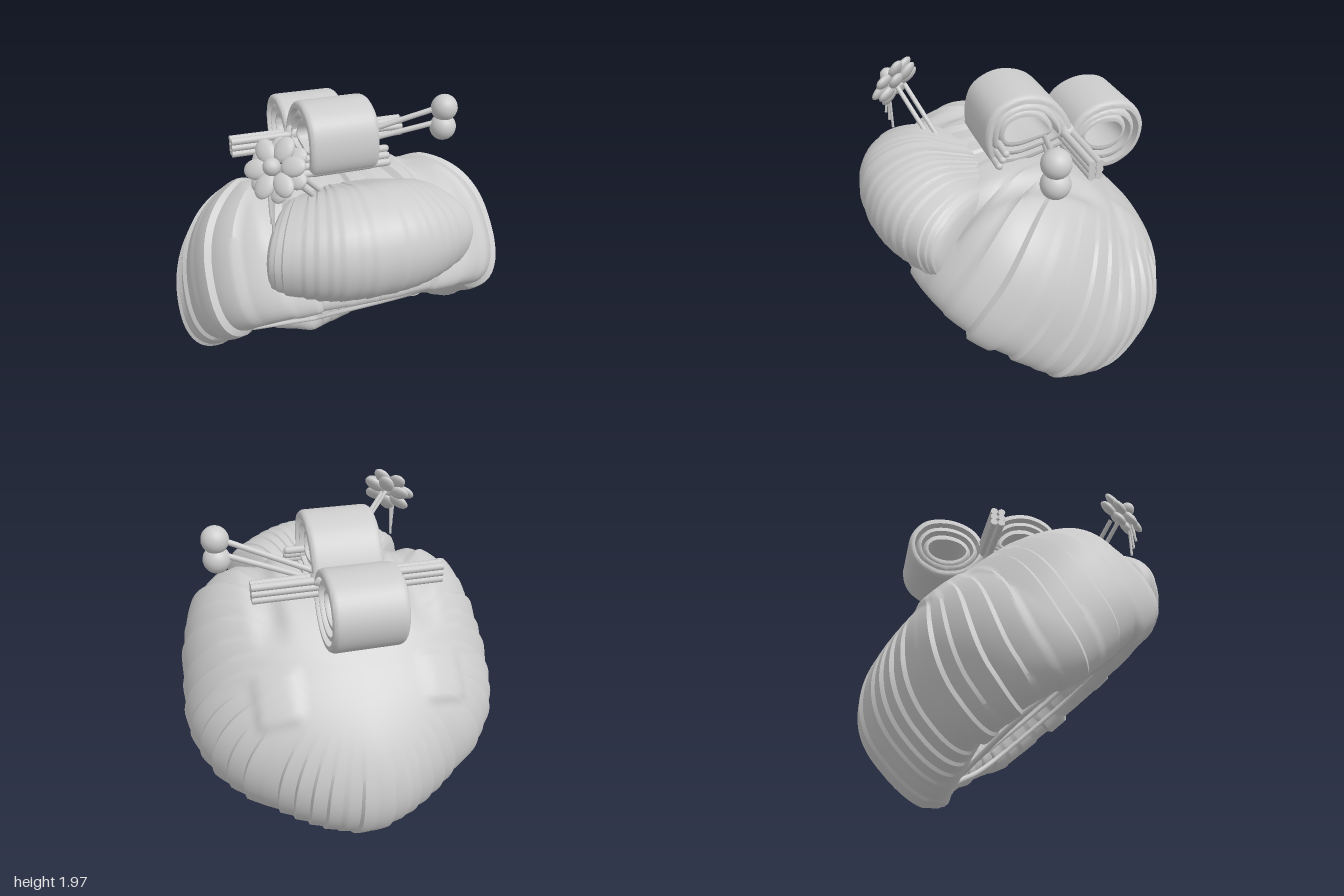
import * as THREE from 'three';
import { toCreasedNormals } from 'three/addons/utils/BufferGeometryUtils.js';

const hair = new THREE.MeshStandardMaterial({ color: 0xcccccc, side: THREE.DoubleSide });
hair.name = 'plain grey';

const V = (x, y, z) => new THREE.Vector3(x, y, z);
const hash = (k) => { const s = Math.sin(k * 12.9898 + 4.1) * 43758.5453; return s - Math.floor(s); };
// overlapping lock: each strand rises to its edge, then steps down
const lock = (q) => hash(Math.floor(q)) * 0.5 + (q - Math.floor(q)) * 0.5;
const smooth = THREE.MathUtils.smoothstep;

function grid(fn, nu, nv) {
  const pos = [], index = [];
  for (let j = 0; j <= nv; j++)
    for (let i = 0; i <= nu; i++) pos.push(...fn(i / nu, j / nv).toArray());
  for (let j = 0; j < nv; j++)
    for (let i = 0; i < nu; i++) {
      const a = j * (nu + 1) + i, b = a + nu + 1;
      index.push(a, a + 1, b, a + 1, b + 1, b);
    }
  const g = new THREE.BufferGeometry();
  g.setAttribute('position', new THREE.Float32BufferAttribute(pos, 3));
  g.setIndex(index);
  return toCreasedNormals(g, 0.6);
}

// tilted frame of the hair: v runs up and forward along the opening, w up and back
const place = (x, v, w) => V(x, Math.max(0, 0.55 + 0.667 * v + 0.745 * w), 0.12 + 0.745 * v - 0.667 * w);

function outline(th, ax, front, back, eFront, eBack) {
  const c = Math.abs(Math.cos(th)), s = Math.sin(th);
  const e = s > 0 ? 2 + (eFront - 2) * s : 2 - (eBack - 2) * s;
  return Math.pow((c / ax) ** e + (Math.abs(s) / (s > 0 ? front : back)) ** e, -1 / e);
}
const outer = (th) => outline(th, 0.985, 0.885, 0.92, 4.2, 1.5);
const opening = (th) => outline(th, 0.62, 0.72, 0.63, 3, 1.1);

// rolled shell: outside dome, rounded rim and inside of the cap
function bodyPoint(a, s) {
  const fold = a < 0.5 ? a : 1 - a;
  let th = -Math.PI / 2 + 2 * Math.PI * a;
  th -= 0.3 * Math.cos(th) * smooth(s, 0.1, 0.6) * (1 - smooth(s, 0.75, 1));
  const R = outer(th), ri = opening(th), sn = Math.sin(th), cs = Math.abs(Math.cos(th));
  const n = 2.2 - 0.2 * sn + Math.max(0, sn) * cs;
  const widest = 0.22 + (sn > 0 ? 0.08 : -0.14) * sn;
  const lowest = -0.06 + 0.2 * Math.max(0, -sn) * cs;
  let r, w;
  if (s <= 0.5) {
    const p = s * Math.PI;
    r = R * Math.pow(Math.sin(p), 2 / n);
    w = widest + (0.95 - widest) * Math.pow(Math.max(0, Math.cos(p)), 2 / n);
  } else if (s <= 0.75) {
    const p = (s - 0.5) * 4 * Math.PI, c = Math.cos(p);
    const tip = 0.05 * (hash(Math.floor(fold * 44)) - 0.5) * cs;
    r = (R + ri) / 2 + (R - ri) / 2 * Math.sign(c) * Math.abs(c) ** 0.85;
    w = widest - (widest - lowest + tip) * Math.max(0, Math.sin(p)) ** 0.85;
  } else {
    const p = (s - 0.75) * 2 * Math.PI;
    r = ri * Math.cos(p);
    w = widest + (0.83 - widest) * Math.sin(p);
  }
  let d = 0.035 * (lock(fold * 44) - 0.5) * smooth(s, 0.12, 0.35) * (1 - smooth(s, 0.68, 0.76));
  const x = Math.abs(r * Math.cos(th)), v = r * sn;
  if (s < 0.5) {
    // groove beside the crown, and the small raised pads at the back
    d -= 0.04 * smooth(x, 0.34, 0.45) * (1 - smooth(x, 0.47, 0.58)) * smooth(v, 0.1, 0.35);
    d += 0.02 * (1 - smooth(Math.abs(x - 0.48), 0.08, 0.15)) * (1 - smooth(Math.abs(v + 0.13), 0.11, 0.18));
  }
  return place(r * (1 + d) * Math.cos(th), v * (1 + d), w * (1 + d));
}

// fringe roll: a cross-section swept round a fan
const fringeCurve = new THREE.CatmullRomCurve3([
  [0.48, 1.5], [0.65, 1.59], [0.83, 1.645], [1.0, 1.61], [1.12, 1.52], [1.175, 1.37],
  [1.15, 1.22], [1.06, 1.11], [0.92, 1.04], [0.75, 1.05], [0.5, 1.3],
].map(([r, y]) => V(r, y, 0)), true);
function fringePoint(t, q) {
  const s = Math.sin((q - 0.5) * Math.PI), p = fringeCurve.getPointAt(t % 1);
  const k = Math.sqrt(Math.max(0, 1 - Math.abs(s) ** 36)) * (1 + 0.04 * (lock(Math.abs(q - 0.5) * 26) - 0.5));
  const high = 1 - 0.3 * s * s * (p.y > 1.3 ? 1 : 0.1);
  const r = (0.85 + (p.x - 0.85) * k) * (1 - 0.06 * s * s);
  const y = 1.3 + (p.y - 1.3) * k * high - 0.02 * s * s;
  const ang = s * 0.6;
  return V(r * Math.sin(ang), y, -0.25 + r * Math.cos(ang));
}

export function createModel() {
  const model = new THREE.Group();
  const add = (name, geometry, parent = model) => {
    const m = new THREE.Mesh(geometry, hair);
    m.name = name;
    parent.add(m);
    return m;
  };
  const group = (name) => {
    const g = new THREE.Group();
    g.name = name;
    model.add(g);
    return g;
  };
  const rod = (name, a, b, r, parent) => {
    const m = add(name, new THREE.CylinderGeometry(r, r, a.distanceTo(b), 12), parent);
    m.position.copy(a).lerp(b, 0.5);
    m.quaternion.setFromUnitVectors(V(0, 1, 0), b.clone().sub(a).normalize());
    return m;
  };

  add('hairBody', grid(bodyPoint, 264, 80));
  add('fringe', grid(fringePoint, 48, 130));

  // thin bands lining the opening
  for (let k = 0; k < 2; k++) {
    const pts = [];
    for (let i = 0; i < 48; i++) {
      const th = i / 48 * Math.PI * 2, r = opening(th) + 0.01 + 0.03 * k;
      pts.push(place(r * Math.cos(th), r * Math.sin(th), 0.1 - 0.08 * k));
    }
    add('openingBand', new THREE.TubeGeometry(new THREE.CatmullRomCurve3(pts, true), 120, 0.016, 8, true));
  }

  // tufts hanging inside the cap, one fan on each side
  for (const side of [-1, 1])
    add('innerTuft', grid((u, t) => {
      const ang = -0.1 + 1.6 * u, r = t * (0.43 + 0.06 * hash(Math.floor(u * 12)));
      return V(side * (0.06 + r * Math.sin(ang)), 1.0 - r * Math.cos(ang),
        -0.4 + 0.1 * t * t + 0.015 * lock(u * 12));
    }, 48, 10));

  // two-loop bow of hair, each loop made of nested bands
  const loops = {
    frontLoop: [[0.25, 1.7], [0.2, 1.87], [0.05, 1.94], [-0.12, 1.9], [-0.24, 1.77], [-0.28, 1.63],
      [-0.1, 1.57], [0.1, 1.54], [0.22, 1.58]],
    backLoop: [[-0.25, 1.62], [-0.32, 1.75], [-0.48, 1.81], [-0.65, 1.77], [-0.735, 1.63],
      [-0.7, 1.47], [-0.56, 1.38], [-0.4, 1.4], [-0.29, 1.5]],
  };
  for (const [name, pts] of Object.entries(loops)) {
    const g = group(name);
    const cz = pts.reduce((s, p) => s + p[0], 0) / pts.length;
    const cy = pts.reduce((s, p) => s + p[1], 0) / pts.length;
    const curve = new THREE.CatmullRomCurve3(pts.map(([z, y]) => V(-(z - cz), y - cy, 0)), true);
    const ring = (kx, ky) => curve.getPoints(48).slice(0, -1).map((p) => new THREE.Vector2(p.x * kx, p.y * ky));
    [[1, 0.77, 0.205], [0.8, 0.6, 0.19], [0.63, 0.42, 0.17]].forEach(([a, b, half], i) => {
      const bevel = 0.035, shape = new THREE.Shape(ring(a - 0.11, a - 0.11 - 0.04 * i));
      shape.holes.push(new THREE.Path(ring(b + 0.08, b + 0.04 - 0.05 * i)));
      const geo = new THREE.ExtrudeGeometry(shape, {
        depth: 2 * (half - bevel), bevelThickness: bevel, bevelSize: 0.026, bevelSegments: 5, curveSegments: 1,
      });
      geo.translate(0, 0, -half + bevel);
      const m = add('loopBand', toCreasedNormals(geo, 0.7), g);
      m.rotation.y = Math.PI / 2;
      m.position.set(0, cy, cz);
    });
  }

  // bundled rods across the bow, and a short bundle below its front
  const bars = group('crossBars');
  for (let i = 0; i < 3; i++)
    for (const z of [-0.225, -0.27])
      rod('crossBar', V(-0.55, 1.585 + i * 0.038, z), V(0.55, 1.585 + i * 0.038, z), 0.022, bars);
  const wrap = add('bowWrap', new THREE.CapsuleGeometry(0.05, 0.34, 6, 16), bars);
  wrap.rotation.z = Math.PI / 2;
  wrap.position.set(0, 1.66, -0.25);
  for (let i = 0; i < 3; i++) {
    const c = add('shortBar', new THREE.CapsuleGeometry(0.022, 0.54, 4, 10), bars);
    c.rotation.z = Math.PI / 2;
    c.position.set(0, 1.59 + i * 0.035, 0.2 - i * 0.02);
  }

  // ball hairpin on the left
  const pin = group('ballPin');
  for (const y of [1.82, 1.7])
    add('pinBall', new THREE.SphereGeometry(0.08, 24, 16), pin).position.set(0.693, y, 0.055);
  rod('pinStick', V(0.1, 1.62, -0.14), V(0.66, 1.82, 0.045), 0.017, pin);
  rod('pinStick', V(0.1, 1.575, -0.14), V(0.66, 1.73, 0.045), 0.017, pin);

  // flower hairpin on the right, with dangling threads
  const flower = group('flowerPin');
  const head = new THREE.Group();
  head.name = 'flowerHead';
  flower.add(head);
  head.position.set(-0.505, 1.835, 0.59);
  head.quaternion.setFromUnitVectors(V(0, 0, 1), V(-0.6, 0.55, 0.58).normalize());
  add('flowerCentre', new THREE.SphereGeometry(0.045, 16, 12), head).position.z = 0.03;
  for (let layer = 0; layer < 2; layer++)
    for (let i = 0; i < 6; i++) {
      const a = (i + layer * 0.5) * Math.PI / 3;
      const p = add('petal', new THREE.SphereGeometry(1, 14, 10), head);
      p.scale.set(0.068, 0.052, 0.026);
      p.position.set(0.1 * Math.cos(a), 0.1 * Math.sin(a), -0.05 * layer);
      p.rotation.z = a;
    }
  for (const k of [0, 0.05])
    rod('flowerStick', V(-0.48 + k, 1.82, 0.58 - k), V(-0.24 + k, 1.56, 0.46 - k), 0.014, flower);
  for (let i = 0; i < 3; i++)
    rod('thread', V(-0.52 - i * 0.012, 1.76, 0.61), V(-0.53 - i * 0.008, 1.5 + i * 0.05, 0.61 + i * 0.015), 0.008, flower);

  return model;
}
